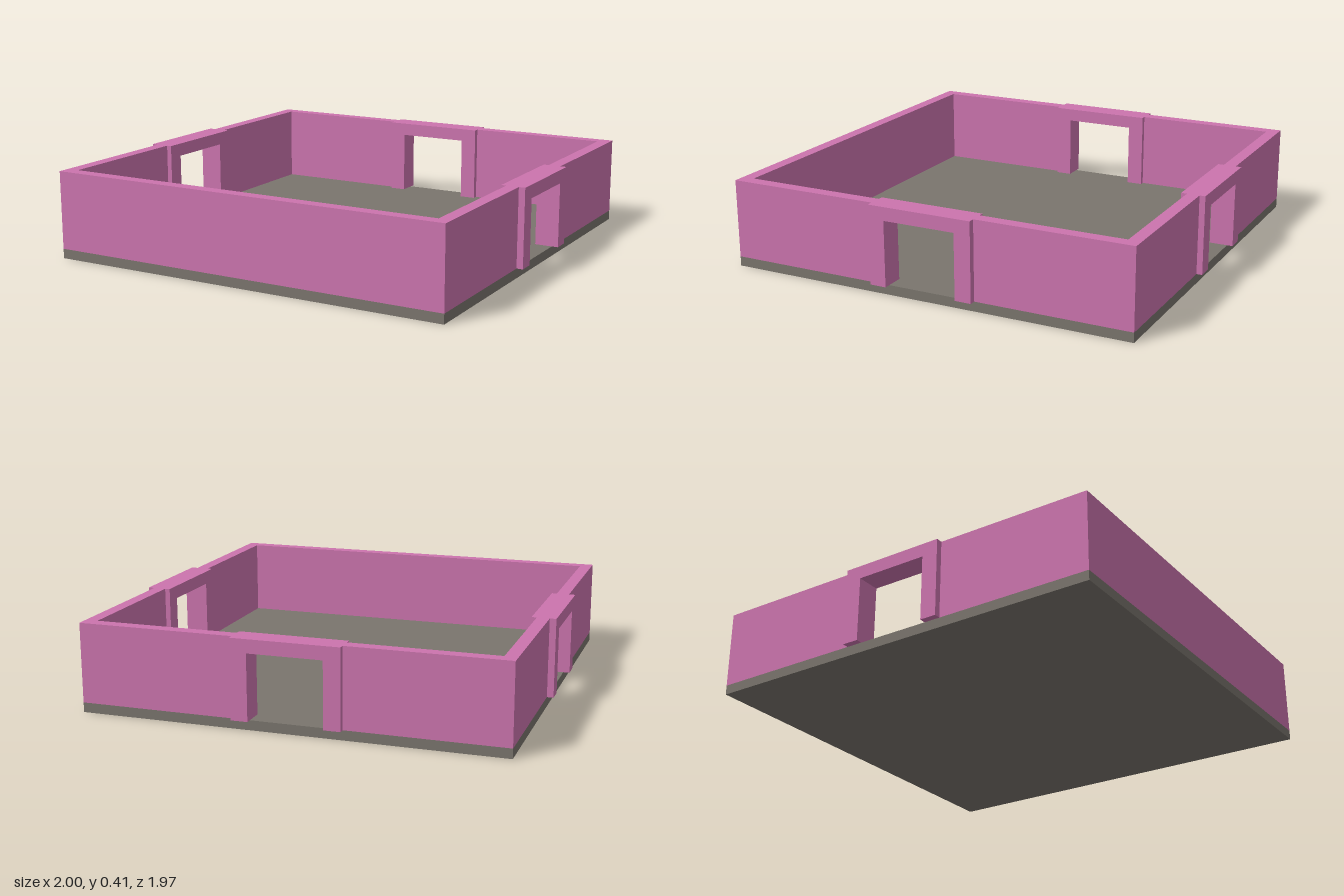
import * as THREE from 'three';

const FLOOR_TOP = 0.045, TOP = 0.41;
const HALF_X = 0.97, BACK = -0.96, FRONT = 0.985, WALL = 0.058;
const MID_Z = (BACK + FRONT) / 2;
const DOOR = { half: 0.248, opening: 0.171, head: 0.348, depth: 0.112 };

const pink = new THREE.MeshStandardMaterial({ color: 0xcc74ae });
const stone = new THREE.MeshStandardMaterial({ color: 0x7a756d });

// Box given by its minimum and maximum corners
function block(name, [x0, y0, z0], [x1, y1, z1], material) {
  const mesh = new THREE.Mesh(new THREE.BoxGeometry(x1 - x0, y1 - y0, z1 - z0), material);
  mesh.position.set((x0 + x1) / 2, (y0 + y1) / 2, (z0 + z1) / 2);
  mesh.name = name;
  return mesh;
}

const wall = (name, x0, x1, z0, z1) => block(name, [x0, FLOOR_TOP, z0], [x1, TOP, z1], pink);

// Doorway: two jambs and a lintel as one outline, thicker than the wall
function doorway(name, x, z, angle) {
  const { half, opening, head, depth } = DOOR;
  const outline = new THREE.Shape([
    [-half, FLOOR_TOP], [-opening, FLOOR_TOP], [-opening, head], [opening, head],
    [opening, FLOOR_TOP], [half, FLOOR_TOP], [half, TOP], [-half, TOP],
  ].map(([u, v]) => new THREE.Vector2(u, v)));
  const geometry = new THREE.ExtrudeGeometry(outline, { depth, bevelEnabled: false });
  geometry.translate(0, 0, -depth / 2);
  const mesh = new THREE.Mesh(geometry, pink);
  mesh.position.set(x, 0, z);
  mesh.rotation.y = angle;
  mesh.name = name;
  return mesh;
}

export function createModel() {
  const room = new THREE.Group();
  room.name = 'room';

  room.add(block('floor', [-HALF_X, 0, BACK], [HALF_X, FLOOR_TOP, FRONT], stone));

  // Solid front wall
  room.add(wall('frontWall', -HALF_X, HALF_X, FRONT - WALL, FRONT));

  // Back wall, split by its doorway
  room.add(wall('backWallRight', -HALF_X, -DOOR.half, BACK, BACK + WALL));
  room.add(wall('backWallLeft', DOOR.half, HALF_X, BACK, BACK + WALL));
  room.add(doorway('backDoorway', 0, BACK + WALL / 2, 0));

  // Side walls, each split by a doorway
  for (const [side, s] of [['left', 1], ['right', -1]]) {
    const x0 = s > 0 ? HALF_X - WALL : -HALF_X;
    room.add(wall(side + 'WallRear', x0, x0 + WALL, BACK + WALL, MID_Z - DOOR.half));
    room.add(wall(side + 'WallFront', x0, x0 + WALL, MID_Z + DOOR.half, FRONT - WALL));
    room.add(doorway(side + 'Doorway', s * (1 - DOOR.depth / 2), MID_Z, Math.PI / 2));
  }
  return room;
}
